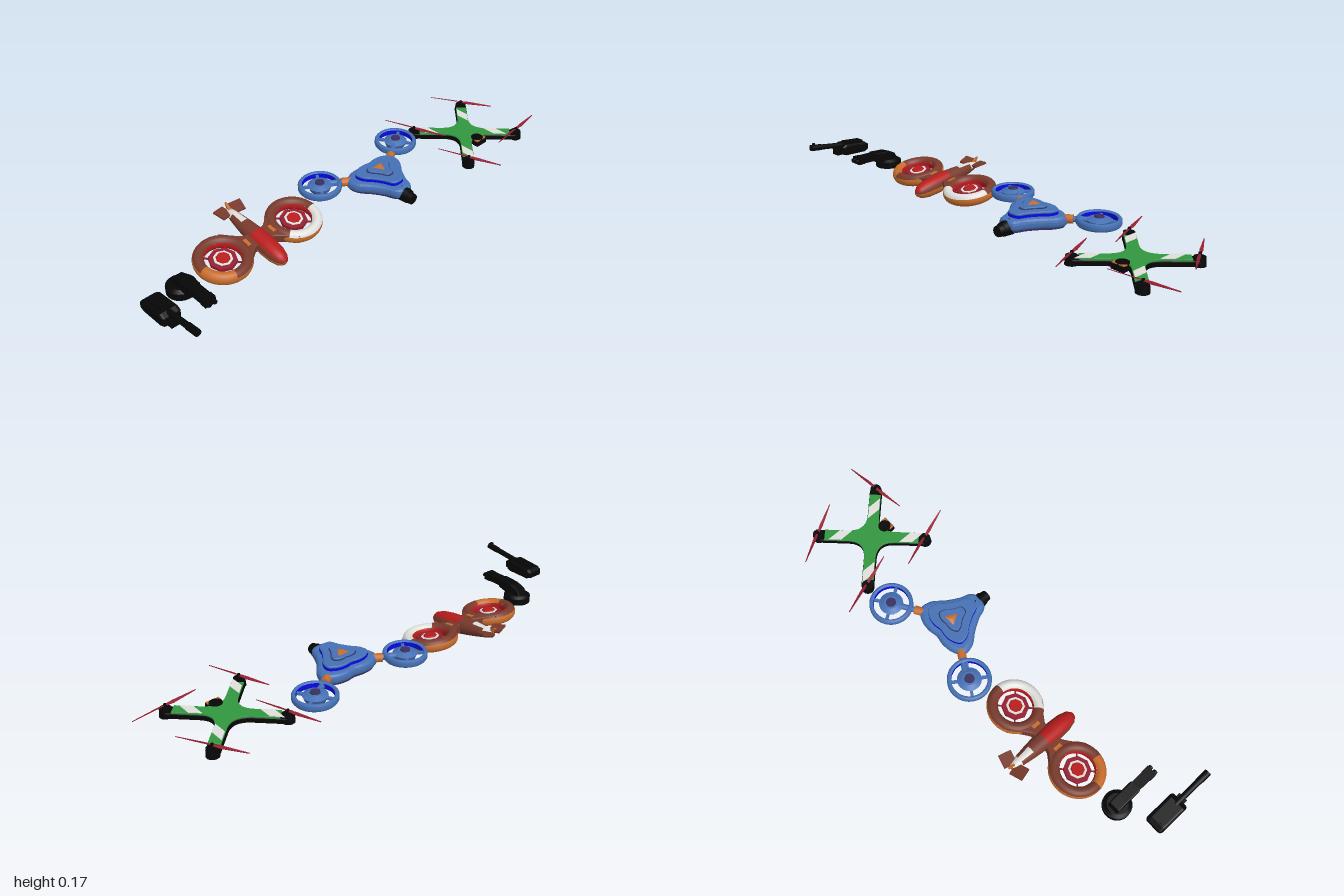
import * as THREE from 'three';

const mat = (name, color) => {
  const m = new THREE.MeshStandardMaterial({ color });
  m.name = name;
  return m;
};
const V = (x, y, z) => new THREE.Vector3(x, y, z);
const P = (x, y) => new THREE.Vector2(x, y);

export function createModel() {
  const black = mat('black', 0x060606), green = mat('green', 0x31963f), white = mat('white', 0xdededa);
  const crimson = mat('crimson', 0x941e30), blue = mat('blue', 0x4570b4), bright = mat('brightBlue', 0x0808f0);
  const navy = mat('navy', 0x382f5c), orange = mat('orange', 0xc66c2c), brown = mat('brown', 0x783a2c);
  const red = mat('red', 0xb81c1c);

  const group = (parent, name, x = 0, y = 0, z = 0) => {
    const g = new THREE.Group();
    g.name = name;
    g.position.set(x, y, z);
    parent.add(g);
    return g;
  };
  const add = (parent, name, geo, m, x = 0, y = 0, z = 0) => {
    const mesh = new THREE.Mesh(geo, m);
    mesh.name = name;
    mesh.position.set(x, y, z);
    parent.add(mesh);
    return mesh;
  };
  const box = (parent, name, m, size, pos) => add(parent, name, new THREE.BoxGeometry(...size), m, ...pos);
  const disc = (parent, name, m, r1, r2, y0, y1, x, z, n = 24) =>
    add(parent, name, new THREE.CylinderGeometry(r2, r1, y1 - y0, n), m, x, (y0 + y1) / 2, z);
  // Round bar from a to b
  const rod = (parent, name, m, a, b, r1, r2 = r1, n = 16) => {
    const mesh = add(parent, name, new THREE.CylinderGeometry(r2, r1, a.distanceTo(b), n), m);
    mesh.position.copy(a).lerp(b, 0.5);
    mesh.quaternion.setFromUnitVectors(V(0, 1, 0), b.clone().sub(a).normalize());
    return mesh;
  };
  const extrude = (shape, depth, bevel) => new THREE.ExtrudeGeometry(shape, {
    depth: depth - 2 * bevel, bevelEnabled: bevel > 0, bevelSize: bevel, bevelThickness: bevel,
    bevelOffset: -bevel, bevelSegments: 3, curveSegments: 12,
  }).translate(0, 0, bevel);
  // Flat outline, drawn as (x, -z), raised from y0 to y1
  const plate = (parent, name, m, shape, y0, y1, bevel = 0) =>
    add(parent, name, extrude(shape, y1 - y0, bevel).rotateX(-Math.PI / 2), m, 0, y0, 0);
  // Side outline in x and y, given a width along z
  const side = (parent, name, m, pts, width, bevel) =>
    add(parent, name, extrude(new THREE.Shape(pts.map(p => P(...p))), width, bevel).translate(0, 0, -width / 2), m);

  const model = new THREE.Group();
  model.name = 'droneSet';

  // ---- Four-rotor drone ----
  const quad = group(model, 'quadDrone', 0, 0, -0.701);
  const cross = (reach, half) => {
    const s = new THREE.Shape();
    for (let k = 0; k < 4; k++) {
      const a = Math.PI / 4 + k * Math.PI / 2, b = a + Math.PI / 4;
      const at = (l, p, t = a) => [l * Math.cos(t) - p * Math.sin(t), l * Math.sin(t) + p * Math.cos(t)];
      if (k === 0) s.moveTo(...at(0.1, -half));
      s.lineTo(...at(reach, -half));
      s.lineTo(...at(reach, half));
      s.lineTo(...at(0.1, half));
      s.quadraticCurveTo(...at(0.036, 0, b), ...at(0.1, -half, a + Math.PI / 2));
    }
    return s;
  };
  plate(quad, 'lowerShell', black, cross(0.225, 0.026), 0.042, 0.066, 0.005);
  plate(quad, 'topCover', green, cross(0.2, 0.024), 0.064, 0.072, 0.002);
  add(quad, 'belly', new THREE.SphereGeometry(0.055, 24, 12).scale(1, 0.4, 1), black, 0, 0.046, 0);
  disc(quad, 'cameraDome', black, 0.03, 0.026, 0.05, 0.074, 0.072, 0);
  box(quad, 'camera', black, [0.024, 0.022, 0.058], [0.089, 0.058, 0]);
  box(quad, 'cameraCap', orange, [0.018, 0.005, 0.056], [0.089, 0.071, 0]);

  const blade = new THREE.Shape([P(0, -0.004), P(0.035, -0.008), P(0.142, -0.0015), P(0.142, 0.0015), P(0.035, 0.006), P(0, 0.004)]);
  const rotors = [[-1, -1, 0.52], [1, -1, -1.44], [-1, 1, 0.34], [1, 1, 0.35]];
  for (const [sx, sz, turn] of rotors) {
    // White bands slanting across each arm
    const [z0, z1] = sz < 0 ? [0.075, 0.112] : [0.1, 0.138];
    const corner = (z, p) => P(sx * (z - p * Math.SQRT2), -sz * z);
    const band = [corner(z0, -0.022), corner(z1, -0.022), corner(z1, 0.022), corner(z0, 0.022)];
    plate(quad, 'armBand', white, new THREE.Shape(band), 0.071, 0.074);
    disc(quad, 'motor', black, 0.026, 0.023, 0.04, 0.074, sx * 0.16, sz * 0.16);
    disc(quad, 'motorShaft', black, 0.008, 0.006, 0.074, 0.091, sx * 0.16, sz * 0.16, 12);
    const prop = group(quad, 'propeller', sx * 0.16, 0.086, sz * 0.16);
    prop.rotation.y = turn;
    for (const flip of [0, Math.PI]) {
      const half = group(prop, 'propellerHalf');
      half.rotation.y = flip;
      plate(half, 'blade', crimson, blade, -0.001, 0.001).rotation.x = 0.35;
    }
  }

  // ---- Blue twin-rotor drone ----
  const tri = group(model, 'blueDrone', 0, 0, -0.175);
  const edge = [[0.13, 0.038], [0.08, 0.06], [0.03, 0.09], [-0.02, 0.128], [-0.07, 0.134], [-0.1, 0.09], [-0.106, 0.04]];
  const loop = [[0.14, 0], ...edge, [-0.1, 0], ...edge.map(([x, z]) => [x, -z]).reverse()];
  const hull = (s) => {
    const pts = loop.map(([x, z]) => V(x * s - 0.01 * (1 - s), z * s, 0));
    return new THREE.Shape(new THREE.CatmullRomCurve3(pts, true).getPoints(64).slice(0, -1).map(p => P(p.x, p.y)).reverse());
  };
  plate(tri, 'underside', navy, hull(0.92), 0.048, 0.056);
  plate(tri, 'hull', blue, hull(1), 0.051, 0.097, 0.018);
  plate(tri, 'trimLine', bright, hull(0.74), 0.096, 0.107);
  plate(tri, 'raisedDeck', blue, hull(0.74), 0.106, 0.117, 0.005);
  plate(tri, 'deckGroove', navy, hull(0.42), 0.116, 0.118);
  plate(tri, 'deckCrown', blue, hull(0.39), 0.117, 0.125, 0.004);
  add(tri, 'crownCap', new THREE.CylinderGeometry(0.01, 0.034, 0.012, 3).rotateY(Math.PI / 2), orange, -0.015, 0.129, 0);
  rod(tri, 'nose', black, V(0.11, 0.064, 0), V(0.155, 0.06, 0), 0.034, 0.028);
  rod(tri, 'noseTip', black, V(0.15, 0.06, 0), V(0.178, 0.059, 0), 0.026, 0.022);

  const bandProfile = [[0.073, -0.01], [0.077, -0.015], [0.085, -0.015], [0.09, -0.008], [0.09, 0.008], [0.085, 0.015], [0.077, 0.015], [0.073, 0.01]].map(p => P(...p));
  for (const s of [-1, 1]) {
    rod(tri, 'arm', blue, V(-0.125, 0.084, s * 0.2), V(-0.06, 0.078, s * 0.1), 0.012);
    rod(tri, 'armSleeve', orange, V(-0.09, 0.08, s * 0.146), V(-0.07, 0.079, s * 0.114), 0.018);
    const pod = group(tri, 'rotorPod', -0.137 + s * 0.007, 0.083, s * 0.23);
    add(pod, 'guardRing', new THREE.LatheGeometry(bandProfile, 40), blue);
    add(pod, 'innerLiner', new THREE.LatheGeometry([P(0.073, 0.01), P(0.073, -0.01)], 40), bright);
    disc(pod, 'hub', blue, 0.042, 0.05, -0.012, 0.006, 0, 0);
    disc(pod, 'hubDome', blue, 0.05, 0.028, 0.006, 0.017, 0, 0);
    disc(pod, 'hubCap', navy, 0.021, 0.019, 0.015, 0.022, 0, 0);
    disc(pod, 'hubBottom', navy, 0.042, 0.042, -0.014, -0.011, 0, 0);
    for (let k = 0; k < 2; k++) box(pod, 'spoke', blue, [0.15, 0.01, 0.012], [0, 0, 0]).rotation.y = s * 0.99 + k * Math.PI / 2;
  }

  // ---- Orange ducted-fan drone, pitched nose down ----
  const fan = group(model, 'ductedDrone', -0.066, 0.055, 0.43);
  fan.rotation.z = -0.17;
  const body = [[-0.192, 0.001], [-0.19, 0.014], [-0.15, 0.023], [-0.09, 0.031], [-0.02, 0.038], [0.05, 0.04], [0.1, 0.037], [0.135, 0.028], [0.152, 0.014], [0.156, 0.001]];
  // Strip of fuselage skin between two stations, centred on an angle from the top
  const skin = (name, m, from, to, centre, spread) => add(fan, name, new THREE.LatheGeometry(
    body.slice(from, to + 1).map(([x, r]) => P(r, x)), 16, Math.PI * 1.5 + centre - spread, spread * 2).rotateZ(-Math.PI / 2), m);
  const roof = 1.0, flank = (Math.PI / 2 - roof) / 2;
  skin('tailTop', white, 0, 2, 0, Math.PI / 2);
  skin('tailStripe', white, 2, 3, 0, 0.5);
  skin('midTop', brown, 3, 4, 0, roof);
  skin('noseTop', red, 4, 9, 0, roof);
  skin('tailBelly', brown, 0, 4, Math.PI, Math.PI / 2);
  skin('noseBelly', orange, 4, 9, Math.PI, Math.PI / 2);
  for (const s of [-1, 1]) {
    skin('tailSide', brown, 2, 3, s * (0.25 + Math.PI / 4), Math.PI / 4 - 0.25);
    skin('flank', brown, 3, 9, s * (roof + flank), flank);
    const wing = box(fan, 'tailWing', brown, [0.055, 0.008, 0.056], [-0.182, 0.012, s * 0.033]);
    wing.rotation.set(-s * 0.2, s * 0.25, 0);
  }
  side(fan, 'tailFin', orange, [[-0.17, 0.012], [-0.2, 0.03], [-0.212, 0.03], [-0.192, 0.004]], 0.01, 0.002);

  // Part of the duct's oval section, in degrees from its outer rim
  const arc = (from, to) => {
    const pts = [];
    for (let i = 0; i <= 8; i++) {
      const a = THREE.MathUtils.degToRad(from + (to - from) * i / 8);
      pts.push(P(0.093 + 0.023 * Math.cos(a), 0.027 * Math.sin(a)));
    }
    return pts;
  };
  const ductTop = {
    '-1': [['ductTopPatch', white, 0.7, Math.PI - 0.7], ['ductTop', brown, Math.PI, Math.PI + 0.7]],
    '1': [['ductTopPatch', orange, 0.1, 1.3], ['ductTop', brown, 1.4, Math.PI * 2 - 1.3]],
  };
  for (const s of [-1, 1]) {
    // Neck between fuselage and duct
    const neck = new THREE.Shape();
    neck.moveTo(-0.03, 0);
    neck.lineTo(0.03, 0);
    neck.lineTo(0.036, -s * 0.045);
    neck.quadraticCurveTo(0.06, -s * 0.08, 0.1, -s * 0.122);
    neck.quadraticCurveTo(0, -s * 0.062, -0.1, -s * 0.122);
    neck.quadraticCurveTo(-0.06, -s * 0.08, -0.036, -s * 0.045);
    plate(fan, 'neck', brown, neck, -0.02, 0.02, 0.006);
    box(fan, 'neckStripe', orange, [0.036, 0.006, 0.016], [0, 0.0185, s * 0.062]);

    const duct = group(fan, 'duct', 0, 0, s * 0.175);
    for (const [name, m, start, len] of ductTop[s]) add(duct, name, new THREE.LatheGeometry(arc(25, 150), 32, start, len), m);
    add(duct, 'ductInnerWall', new THREE.LatheGeometry(arc(150, 215), 40), red);
    add(duct, 'ductBottom', new THREE.LatheGeometry(arc(215, 295), 40), brown);
    add(duct, 'ductRim', new THREE.LatheGeometry(arc(-65, 25), 40), orange);
    disc(duct, 'rotorPlate', crimson, 0.056, 0.056, -0.008, 0.006, 0, 0, 8);
    disc(duct, 'rotorOutline', white, 0.038, 0.038, 0.005, 0.009, 0, 0, 8);
    disc(duct, 'rotorCentre', red, 0.03, 0.026, 0.006, 0.014, 0, 0, 8);
    disc(duct, 'rotorBottom', crimson, 0.022, 0.03, -0.015, -0.007, 0, 0, 8);
    for (let k = 0; k < 2; k++) box(duct, 'strut', crimson, [0.15, 0.006, 0.005], [0, -0.004, 0]).rotation.y = Math.PI / 4 + k * Math.PI / 2;
  }

  // ---- Round-base turret ----
  const turret = group(model, 'roundTurret', 0, 0, 0.806);
  disc(turret, 'turretBase', black, 0.058, 0.058, 0.04, 0.068, -0.05, 0, 32);
  disc(turret, 'turretCollar', black, 0.056, 0.042, 0.068, 0.078, -0.05, 0, 32);
  side(turret, 'turretBody', black, [[-0.085, 0.07], [-0.072, 0.1], [-0.03, 0.116], [0.04, 0.12], [0.04, 0.08], [0, 0.07]], 0.05, 0.005);
  box(turret, 'barrelHousing', black, [0.1, 0.03, 0.042], [0.075, 0.101, 0]);
  box(turret, 'muzzle', black, [0.03, 0.032, 0.046], [0.115, 0.101, 0]);
  for (const s of [-1, 1]) rod(turret, 'barrelTip', black, V(0.12, 0.101, s * 0.012), V(0.142, 0.101, s * 0.012), 0.009);

  // ---- Long-barrel cannon ----
  const cannon = group(model, 'cannon', 0, 0, 0.957);
  side(cannon, 'cannonBody', black, [[-0.022, 0.1], [-0.022, 0.125], [-0.005, 0.137], [0.1, 0.146], [0.12, 0.135], [0.12, 0.1], [0.1, 0.092], [0, 0.09]], 0.08, 0.012);
  box(cannon, 'cannonRib', black, [0.09, 0.012, 0.04], [0.045, 0.142, 0]).rotation.z = 0.08;
  box(cannon, 'cannonFront', black, [0.03, 0.03, 0.04], [0.125, 0.112, 0]);
  rod(cannon, 'barrel', black, V(0.08, 0.134, 0), V(0.225, 0.151, 0), 0.012);
  rod(cannon, 'barrelMuzzle', black, V(0.215, 0.15, 0), V(0.268, 0.156, 0), 0.014);
  box(cannon, 'frontSight', black, [0.012, 0.012, 0.006], [0.254, 0.17, 0]);

  return model;
}
